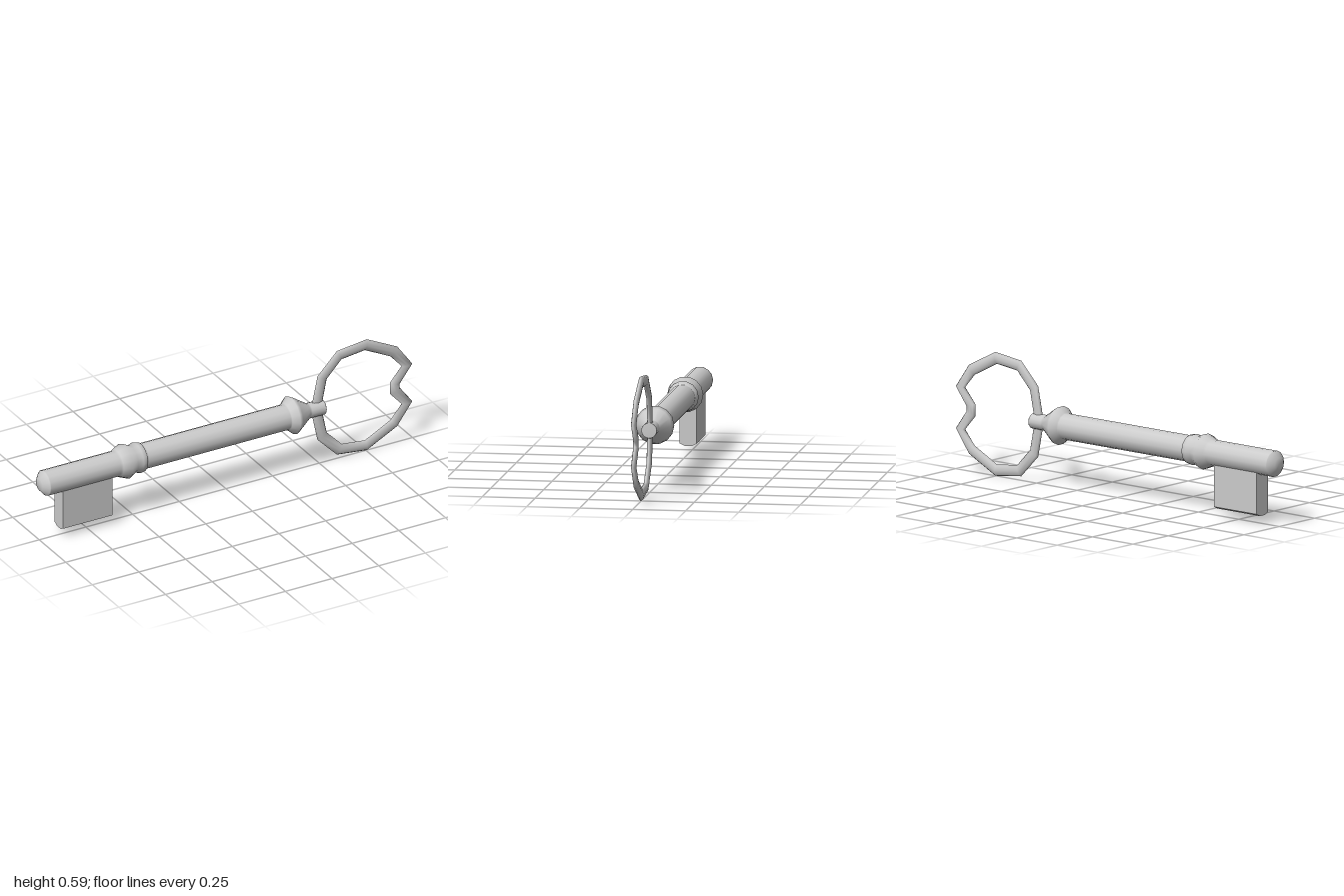
import * as THREE from 'three';

const AXIS_Y = 0.295;
const material = new THREE.MeshStandardMaterial({ color: 0xcccccc, side: THREE.DoubleSide });

function addPart(group, name, geometry) {
  const mesh = new THREE.Mesh(geometry, material);
  mesh.name = name;
  mesh.position.y = AXIS_Y;
  group.add(mesh);
}

// Turned part along x, from [x, radius] pairs running from -x to +x
function turned(profile) {
  const points = profile.map(([x, r]) => new THREE.Vector2(r, x));
  return new THREE.LatheGeometry(points, 14).rotateZ(-Math.PI / 2);
}

// Closed loop with an oval section, swept along a flat outline
function ovalLoop(outline, halfWidth, halfDepth, sides) {
  const n = outline.length;
  const positions = [];
  const indices = [];
  outline.forEach(([x, y], i) => {
    const [ax, ay] = outline[(i + n - 1) % n];
    const [bx, by] = outline[(i + 1) % n];
    const before = new THREE.Vector2(x - ax, y - ay).normalize();
    const after = new THREE.Vector2(bx - x, by - y).normalize();
    const tangent = before.add(after).normalize();
    for (let j = 0; j < sides; j++) {
      const a = (j / sides) * Math.PI * 2;
      const w = Math.cos(a) * halfWidth;
      positions.push(x - tangent.y * w, y + tangent.x * w, Math.sin(a) * halfDepth);
      const k = (j + 1) % sides;
      const p = i * sides;
      const q = ((i + 1) % n) * sides;
      indices.push(p + j, p + k, q + j, q + j, p + k, q + k);
    }
  });
  const geometry = new THREE.BufferGeometry();
  geometry.setAttribute('position', new THREE.Float32BufferAttribute(positions, 3));
  geometry.setIndex(indices);
  geometry.computeVertexNormals();
  return geometry;
}

export function createModel() {
  const key = new THREE.Group();
  key.name = 'key';

  // Shaft with blunt tip, double collar, flared shoulder and neck
  addPart(key, 'shaft', turned([
    [-1, 0], [-1, 0.032], [-0.975, 0.062], [-0.97, 0.062], [-0.595, 0.062],
    [-0.585, 0.068], [-0.545, 0.085], [-0.505, 0.066], [-0.48, 0.074],
    [-0.456, 0.07], [-0.452, 0.062], [-0.445, 0.062], [0.315, 0.062],
    [0.32, 0.066], [0.35, 0.092], [0.37, 0.081], [0.435, 0.038],
    [0.445, 0.037], [0.518, 0.037], [0.52, 0.036], [0.52, 0],
  ]));

  // Heart-like handle loop, mirrored above and below the axis
  const half = [
    [0.515, 0.155], [0.607, 0.25], [0.75, 0.267],
    [0.9, 0.19], [0.97, 0.1], [0.905, 0.02],
  ];
  const mirrored = half.map(([x, y]) => [x, -y]).reverse();
  // Run anticlockwise so that the faces point outward
  const outline = [[0.483, 0], ...half, ...mirrored].reverse();
  addPart(key, 'handleLoop', ovalLoop(outline, 0.028, 0.013, 8));

  // Bit: thick plate below the shaft with bevelled lower edges
  const section = new THREE.Shape();
  section.moveTo(-0.04, -0.02);
  section.lineTo(-0.04, -0.245);
  section.lineTo(-0.016, -0.257);
  section.lineTo(0.016, -0.257);
  section.lineTo(0.04, -0.245);
  section.lineTo(0.04, -0.02);
  section.closePath();
  const bit = new THREE.ExtrudeGeometry(section, { depth: 0.265, bevelEnabled: false });
  bit.rotateY(Math.PI / 2).translate(-0.895, 0, 0);
  addPart(key, 'bit', bit);

  return key;
}
